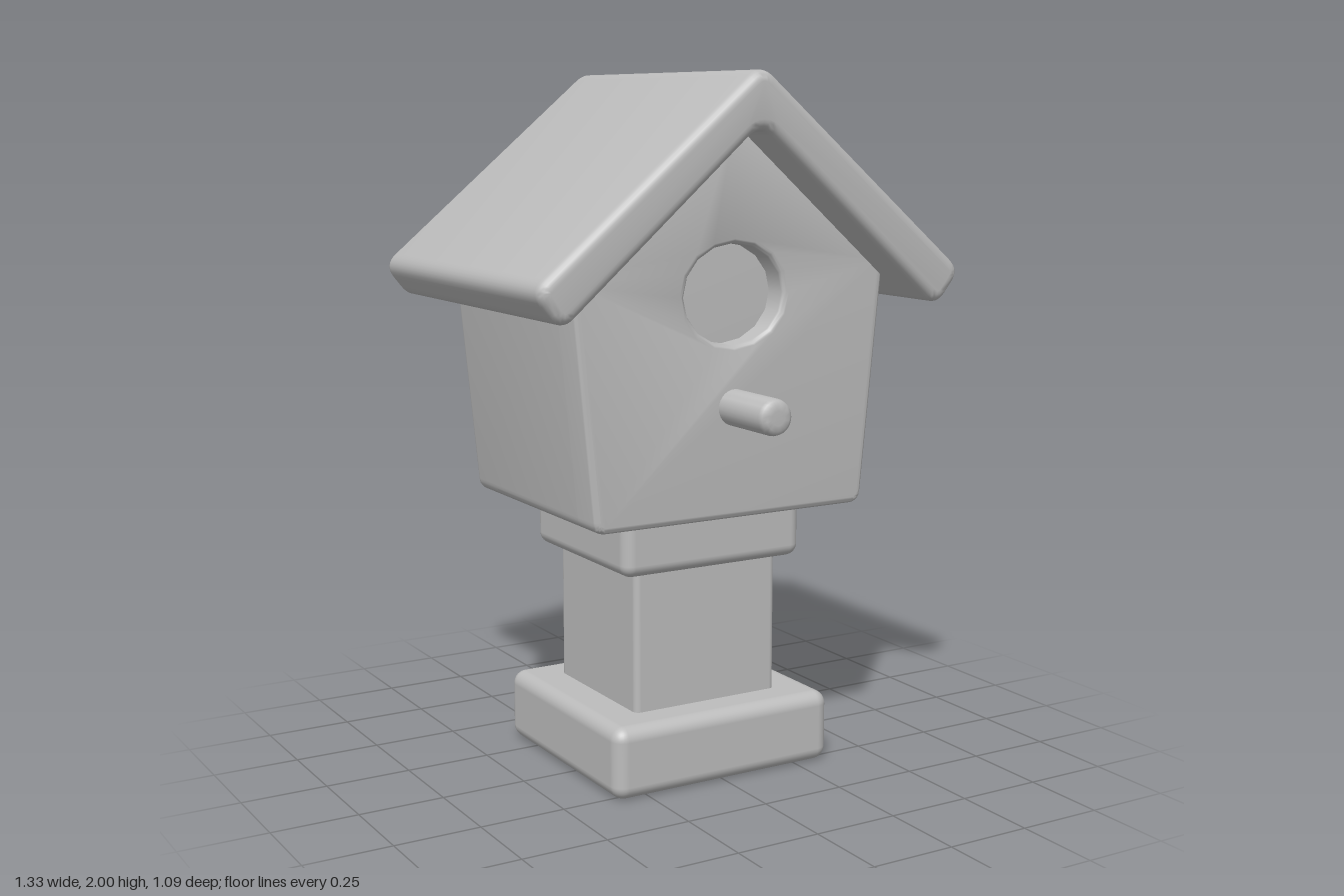
import * as THREE from 'three';
import { toCreasedNormals } from 'three/addons/utils/BufferGeometryUtils.js';
import { RoundedBoxGeometry } from 'three/addons/geometries/RoundedBoxGeometry.js';

const grey = new THREE.MeshStandardMaterial({ color: 0xbcbcbc });
grey.name = 'plain grey';

// Closed polygon whose corners are softened by the distance cut
function roundedShape(points, cut) {
  const p = points.map(([x, y]) => new THREE.Vector2(x, y));
  const shape = new THREE.Shape();
  p.forEach((c, i) => {
    const toward = (q) => c.clone().add(q.clone().sub(c).setLength(cut));
    const a = toward(p[(i + p.length - 1) % p.length]);
    const b = toward(p[(i + 1) % p.length]);
    if (i === 0) shape.moveTo(a.x, a.y);
    else shape.lineTo(a.x, a.y);
    shape.quadraticCurveTo(c.x, c.y, b.x, b.y);
  });
  shape.closePath();
  return shape;
}

// Extrusion from zBack to zFront with rounded rims that stay inside the outline
function softExtrude(shape, zBack, zFront, bevel) {
  const geo = new THREE.ExtrudeGeometry(shape, {
    depth: zFront - zBack - 2 * bevel,
    bevelThickness: bevel, bevelSize: bevel, bevelOffset: -bevel,
    bevelSegments: 5, curveSegments: 8,
  });
  geo.translate(0, 0, zBack + bevel);
  return toCreasedNormals(geo, 0.7);
}

export function createModel() {
  const model = new THREE.Group();
  model.name = 'birdhouse';
  const add = (name, geo) => {
    const mesh = new THREE.Mesh(geo, grey);
    mesh.name = name;
    model.add(mesh);
    return mesh;
  };

  // Square stand: half width, half depth, bottom, top, edge radius
  const stand = [
    ['base', 0.358, 0.34, 0, 0.21, 0.04],
    ['post', 0.235, 0.228, 0.15, 0.7, 0.018],
    ['collar', 0.293, 0.275, 0.615, 0.83, 0.035],
  ];
  for (const [name, hx, hz, y0, y1, r] of stand) {
    add(name, new RoundedBoxGeometry(2 * hx, y1 - y0, 2 * hz, 4, r))
      .position.set(0, (y0 + y1) / 2, -0.043);
  }

  // House: a solid core, and a front shell of the same outline with the entrance cut in
  const outline = () => roundedShape(
    [[-0.435, 0.776], [0.435, 0.776], [0.505, 1.48], [0, 1.92], [-0.505, 1.48]], 0.035);
  add('houseCore', softExtrude(outline(), -0.422, 0.255, 0.025));
  const front = outline();
  const entrance = new THREE.Path();
  entrance.absellipse(0, 1.4, 0.158, 0.14, 0, Math.PI * 2, true);
  front.holes.push(entrance);
  front.curves.forEach((c) => { c.arcLengthDivisions = 50; });
  add('houseFront', softExtrude(front, -0.3, 0.328, 0.018));

  // Gabled roof in one piece
  const roof = roundedShape([
    [0, 2.018], [-0.68, 1.45], [-0.595, 1.345], [0, 1.86], [0.595, 1.345], [0.68, 1.45],
  ], 0.05);
  add('roof', softExtrude(roof, -0.54, 0.468, 0.03));

  // Perch with a rounded tip
  const perch = new THREE.LatheGeometry([
    [0.051, 0], [0.051, 0.263], [0.047, 0.276], [0.036, 0.284], [0.02, 0.285], [0, 0.285],
  ].map(([x, y]) => new THREE.Vector2(x, y)), 28);
  perch.rotateX(Math.PI / 2);
  add('perch', toCreasedNormals(perch, 0.9)).position.set(0, 1.09, 0.26);

  return model;
}
